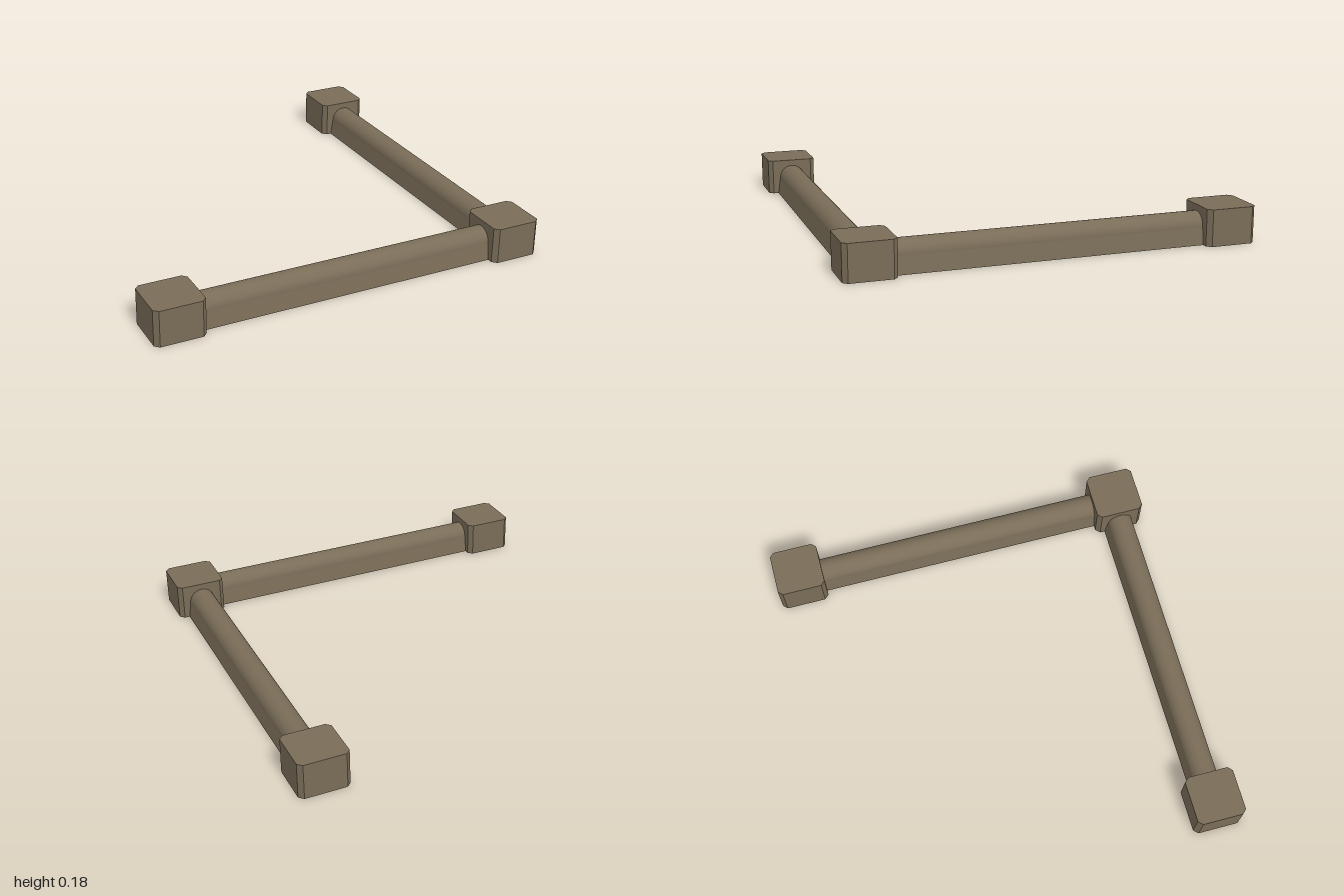
import * as THREE from 'three';

const HALF = 0.125, CHAMFER = 0.022, POST_HEIGHT = 0.18, CENTRE = 0.875;
const RADIUS = 0.065, BASE_HALF = 0.078, BASE_HEIGHT = 0.085, RAIL_LENGTH = 1.51;

// Square cap with chamfered upright edges, open underneath
function postGeometry() {
  const a = HALF, b = HALF - CHAMFER;
  const ring = [[a, b], [a, -b], [b, -a], [-b, -a], [-a, -b], [-a, b], [-b, a], [b, a]];
  const positions = [];
  ring.forEach(([x0, z0], i) => {
    const [x1, z1] = ring[(i + 1) % ring.length];
    const h = POST_HEIGHT;
    positions.push(x0, 0, z0, x1, 0, z1, x1, h, z1);
    positions.push(x0, 0, z0, x1, h, z1, x0, h, z0);
    positions.push(0, h, 0, x0, h, z0, x1, h, z1);
  });
  const geometry = new THREE.BufferGeometry();
  geometry.setAttribute('position', new THREE.Float32BufferAttribute(positions, 3));
  geometry.computeVertexNormals();
  return geometry;
}

// Sloping skirt below the rounded top of a rail
function skirtGeometry() {
  const geometry = new THREE.PlaneGeometry(RAIL_LENGTH, BASE_HEIGHT);
  geometry.translate(0, BASE_HEIGHT / 2, 0);
  const p = geometry.attributes.position;
  for (let i = 0; i < p.count; i++) p.setZ(i, p.getY(i) > 0.01 ? RADIUS : BASE_HALF);
  geometry.computeVertexNormals();
  return geometry;
}

// Hollow rail running along x
function makeRail(name, material) {
  const rail = new THREE.Group();
  rail.name = name;
  const archGeometry = new THREE.CylinderGeometry(RADIUS, RADIUS, RAIL_LENGTH, 20, 1, true, 0, Math.PI);
  archGeometry.rotateZ(Math.PI / 2);
  const arch = new THREE.Mesh(archGeometry, material);
  arch.name = 'roundedTop';
  arch.position.y = BASE_HEIGHT;
  rail.add(arch);
  const skirt = skirtGeometry();
  for (const [side, turn] of [['outerSkirt', 0], ['innerSkirt', Math.PI]]) {
    const mesh = new THREE.Mesh(skirt, material);
    mesh.name = side;
    mesh.rotation.y = turn;
    rail.add(mesh);
  }
  return rail;
}

export function createModel() {
  const model = new THREE.Group();
  model.name = 'cornerRailing';
  const brown = new THREE.MeshStandardMaterial({ color: 0x7a6d58 });
  brown.name = 'dullBrown';
  brown.side = THREE.DoubleSide;

  // Three posts at the ends and the corner of the L
  const post = postGeometry();
  for (const [name, x, z] of [['rightPost', -1, 1], ['cornerPost', 1, 1], ['backPost', 1, -1]]) {
    const mesh = new THREE.Mesh(post, brown);
    mesh.name = name;
    mesh.position.set(x * CENTRE, 0, z * CENTRE);
    model.add(mesh);
  }

  // Two rails joining them
  const frontRail = makeRail('frontRail', brown);
  frontRail.position.z = CENTRE;
  const sideRail = makeRail('sideRail', brown);
  sideRail.rotation.y = Math.PI / 2;
  sideRail.position.x = CENTRE;
  model.add(frontRail, sideRail);
  return model;
}
